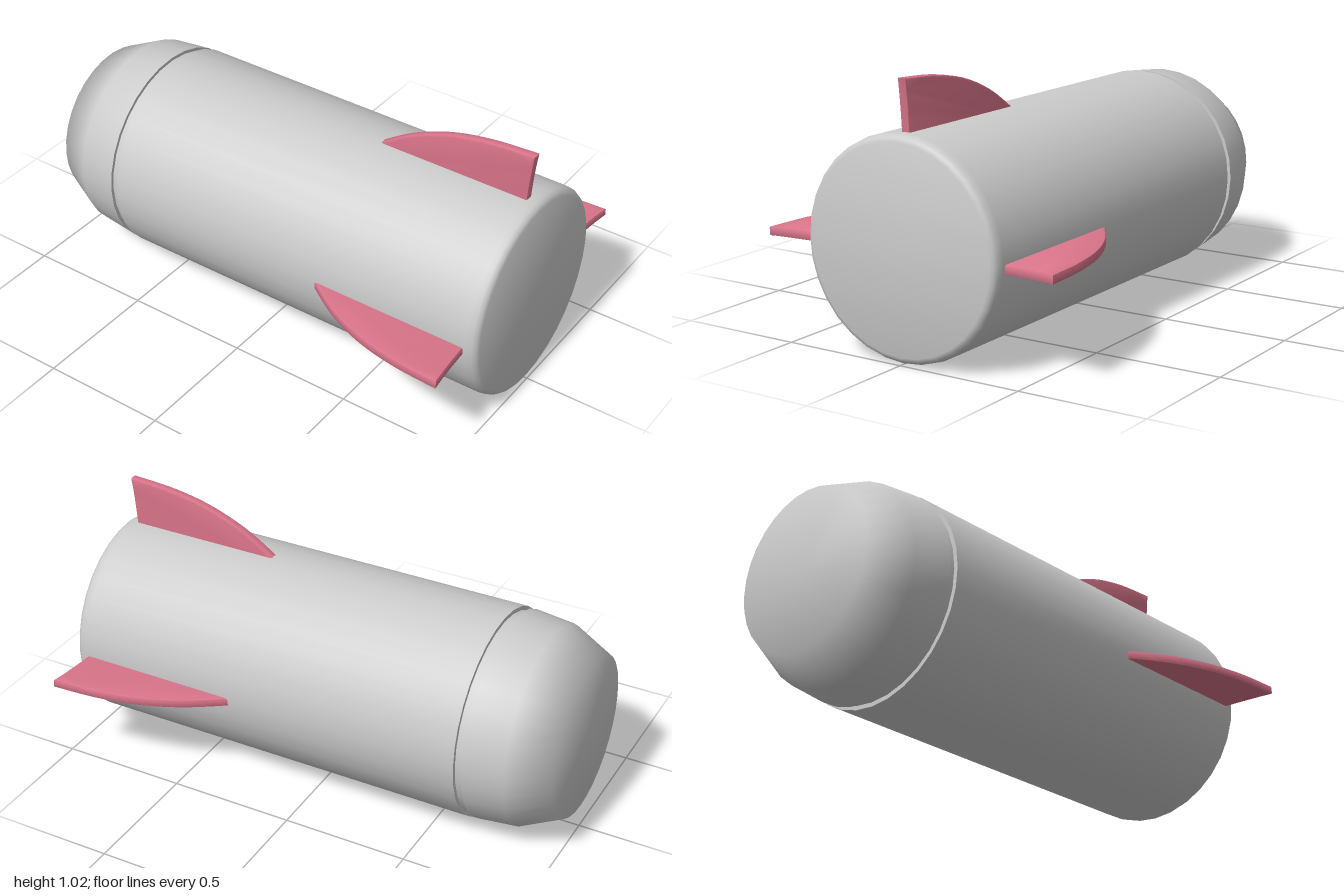
import * as THREE from 'three';
import { toCreasedNormals } from 'three/addons/utils/BufferGeometryUtils.js';

const AXIS_Y = 0.417;
const SIDES = 32;
const grey = new THREE.MeshStandardMaterial({ color: 0xcccccc });
const pink = new THREE.MeshStandardMaterial({ color: 0xd9748a });

// Surface of revolution about the z axis; points are [radius, z], from back to front
function turned(name, points, crease) {
  let geometry = new THREE.LatheGeometry(points.map(([r, z]) => new THREE.Vector2(r, z)), SIDES);
  geometry.rotateX(Math.PI / 2);
  if (crease) geometry = toCreasedNormals(geometry, crease);
  const mesh = new THREE.Mesh(geometry, grey);
  mesh.name = name;
  mesh.position.y = AXIS_Y;
  return mesh;
}

// Thin fin pointing along +x, its outline drawn as (radius, z)
function finGeometry() {
  const shape = new THREE.Shape();
  shape.moveTo(0.36, 0.26);
  shape.lineTo(0.413, 0.305);
  shape.splineThru([[0.505, 0.45], [0.57, 0.61], [0.605, 0.78], [0.618, 0.965]]
    .map(([r, z]) => new THREE.Vector2(r, z)));
  shape.quadraticCurveTo(0.52, 0.95, 0.36, 0.943);
  shape.closePath();
  const bevel = 0.006, thickness = 0.035;
  const geometry = new THREE.ExtrudeGeometry(shape, {
    depth: thickness - 2 * bevel, curveSegments: 10,
    bevelThickness: bevel, bevelSize: bevel, bevelOffset: -bevel, bevelSegments: 2,
  });
  geometry.translate(0, 0, bevel - thickness / 2);
  geometry.rotateX(Math.PI / 2);
  return toCreasedNormals(geometry, 0.6);
}

export function createModel() {
  const model = new THREE.Group();
  model.name = 'rocket';

  // Long body with a rounded rim at the tail
  model.add(turned('body', [
    [0, -0.65], [0.413, -0.65], [0.413, 0.955], [0.409, 0.98], [0.4, 0.994], [0.385, 1], [0, 1],
  ], 0.75));

  // Recessed ring between body and nose
  model.add(turned('neck', [[0.397, -0.7], [0.397, -0.64]]));

  // Blunt nose, smoothly shaded across its facets
  model.add(turned('nose', [[0, -1], [0.317, -1], [0.394, -0.84], [0.41, -0.68]]));
  model.add(turned('noseBase', [[0.41, -0.68], [0, -0.68]]));

  // Three fins: left, top and right
  const fin = finGeometry();
  [['leftFin', 0, 0.4], ['topFin', Math.PI / 2, 0.402], ['rightFin', Math.PI, 0.4]]
    .forEach(([name, angle, y]) => {
      const mesh = new THREE.Mesh(fin, pink);
      mesh.name = name;
      mesh.rotation.z = angle;
      mesh.position.y = y;
      model.add(mesh);
    });

  return model;
}
